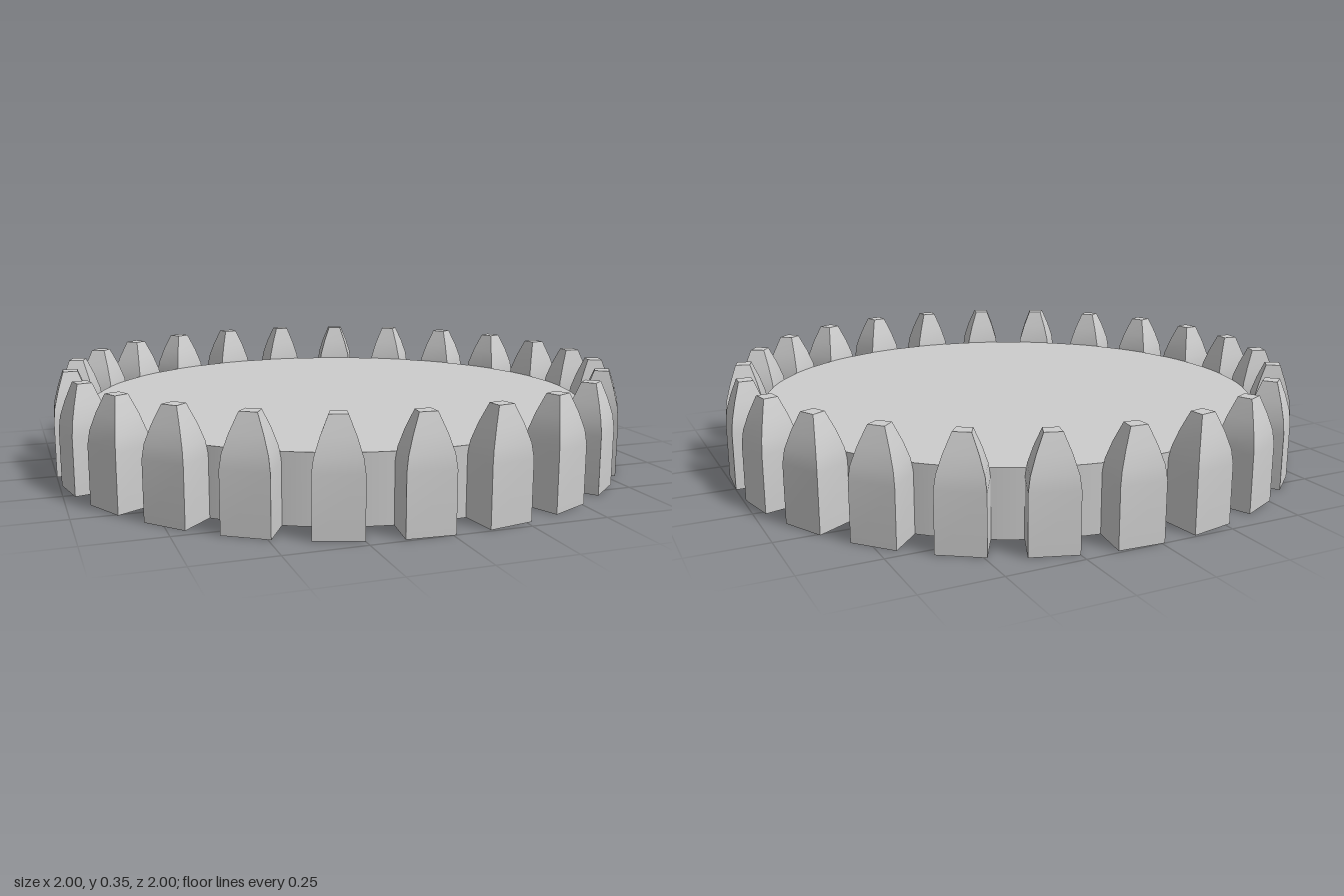
import * as THREE from 'three';
import { toCreasedNormals } from 'three/addons/utils/BufferGeometryUtils.js';

const TEETH = 24;

// One tooth pointing along +x: a wedge block whose upper part curves in to a small flat tip
function toothGeometry() {
  const rings = [[0, 1], [0.19, 1], [0.235, 0.92], [0.29, 0.69], [0.35, 0.37]]; // height, scale
  const inner = 0.866, outer = 0.997, wi = 0.065, wo = 0.075, centre = 0.937;
  const corners = [[inner, wi], [outer, wo], [outer, -wo], [inner, -wi]];
  const points = [], index = [];
  for (const [y, s] of rings) {
    for (const [x, z] of corners) points.push(centre + (x - centre) * s, y, z * s);
  }
  for (let r = 0; r < rings.length - 1; r++) {
    for (let k = 0; k < 4; k++) {
      const a = r * 4 + k, b = r * 4 + (k + 1) % 4;
      index.push(a, b, b + 4, a, b + 4, a + 4);
    }
  }
  const t = (rings.length - 1) * 4;
  index.push(t, t + 1, t + 2, t, t + 2, t + 3); // tip
  index.push(0, 2, 1, 0, 3, 2); // underside
  const geometry = new THREE.BufferGeometry();
  geometry.setAttribute('position', new THREE.Float32BufferAttribute(points, 3));
  geometry.setIndex(index);
  return toCreasedNormals(geometry, 0.5);
}

export function createModel() {
  const model = new THREE.Group();
  model.name = 'gear';
  const grey = new THREE.MeshStandardMaterial({ color: 0xcccccc });
  grey.name = 'light grey';

  // Solid disc
  const disc = new THREE.Mesh(new THREE.CylinderGeometry(0.87, 0.87, 0.22, 96), grey);
  disc.name = 'disc';
  disc.position.y = 0.11;
  model.add(disc);

  // Ring of teeth, turned a quarter step off the axes
  const teeth = new THREE.Group();
  teeth.name = 'teeth';
  const geometry = toothGeometry();
  const step = (Math.PI * 2) / TEETH;
  for (let i = 0; i < TEETH; i++) {
    const tooth = new THREE.Mesh(geometry, grey);
    tooth.name = 'tooth';
    tooth.rotation.y = (i - 0.25) * step;
    teeth.add(tooth);
  }
  model.add(teeth);
  return model;
}
